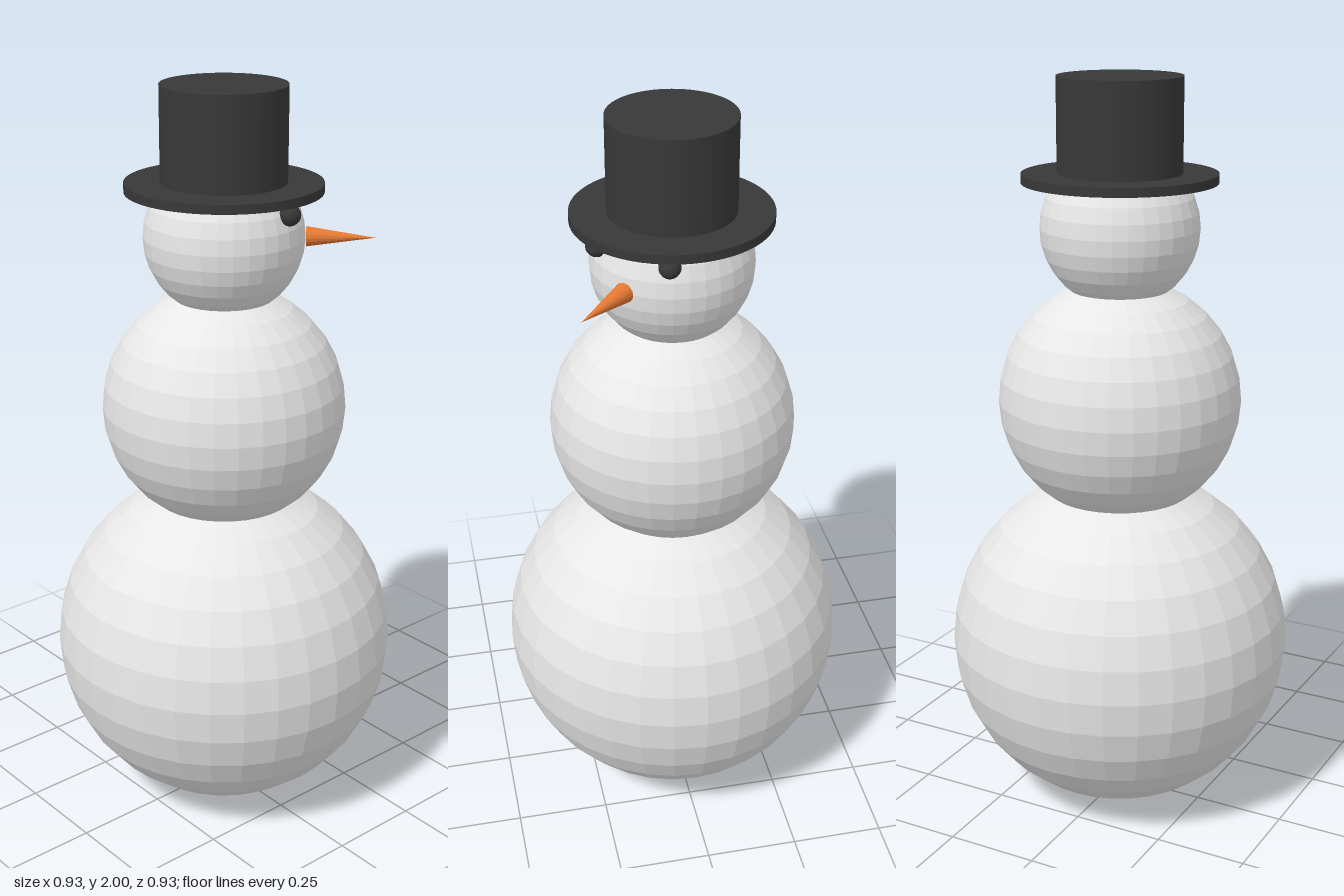
import * as THREE from 'three';

export function createModel() {
  const model = new THREE.Group();
  const flat = (name, color) => {
    const m = new THREE.MeshStandardMaterial({ color, flatShading: true });
    m.name = name;
    return m;
  };
  const snow = flat('snow white', 0xfafafa);
  const black = flat('charcoal black', 0x383838);
  const orange = flat('carrot orange', 0xe67a33);

  const add = (name, geometry, material, x, y, z) => {
    const mesh = new THREE.Mesh(geometry, material);
    mesh.name = name;
    mesh.position.set(x, y, z);
    model.add(mesh);
    return mesh;
  };

  // Three stacked snowballs
  for (const [name, r, y] of [['base', 0.465, 0.468], ['torso', 0.325, 1.153], ['head', 0.21, 1.614]]) {
    add(name, new THREE.SphereGeometry(r, 32, 16), snow, 0, y, 0);
  }

  // Top hat
  add('hatBrim', new THREE.CylinderGeometry(0.256, 0.256, 0.024, 64), black, 0, 1.743, 0);
  add('hatCrown', new THREE.CylinderGeometry(0.163, 0.163, 0.25, 64), black, 0, 1.875, 0);

  // Face looks along the +x +z diagonal
  add('leftEye', new THREE.SphereGeometry(0.028, 16, 12), black, 0.198, 1.697, 0.047);
  add('rightEye', new THREE.SphereGeometry(0.028, 16, 12), black, 0.047, 1.697, 0.198);

  const nose = add('nose', new THREE.ConeGeometry(0.026, 0.177, 16), orange, 0.212, 1.616, 0.212);
  nose.quaternion.setFromUnitVectors(
    new THREE.Vector3(0, 1, 0),
    new THREE.Vector3(1, 0, 1).normalize()
  );

  return model;
}
